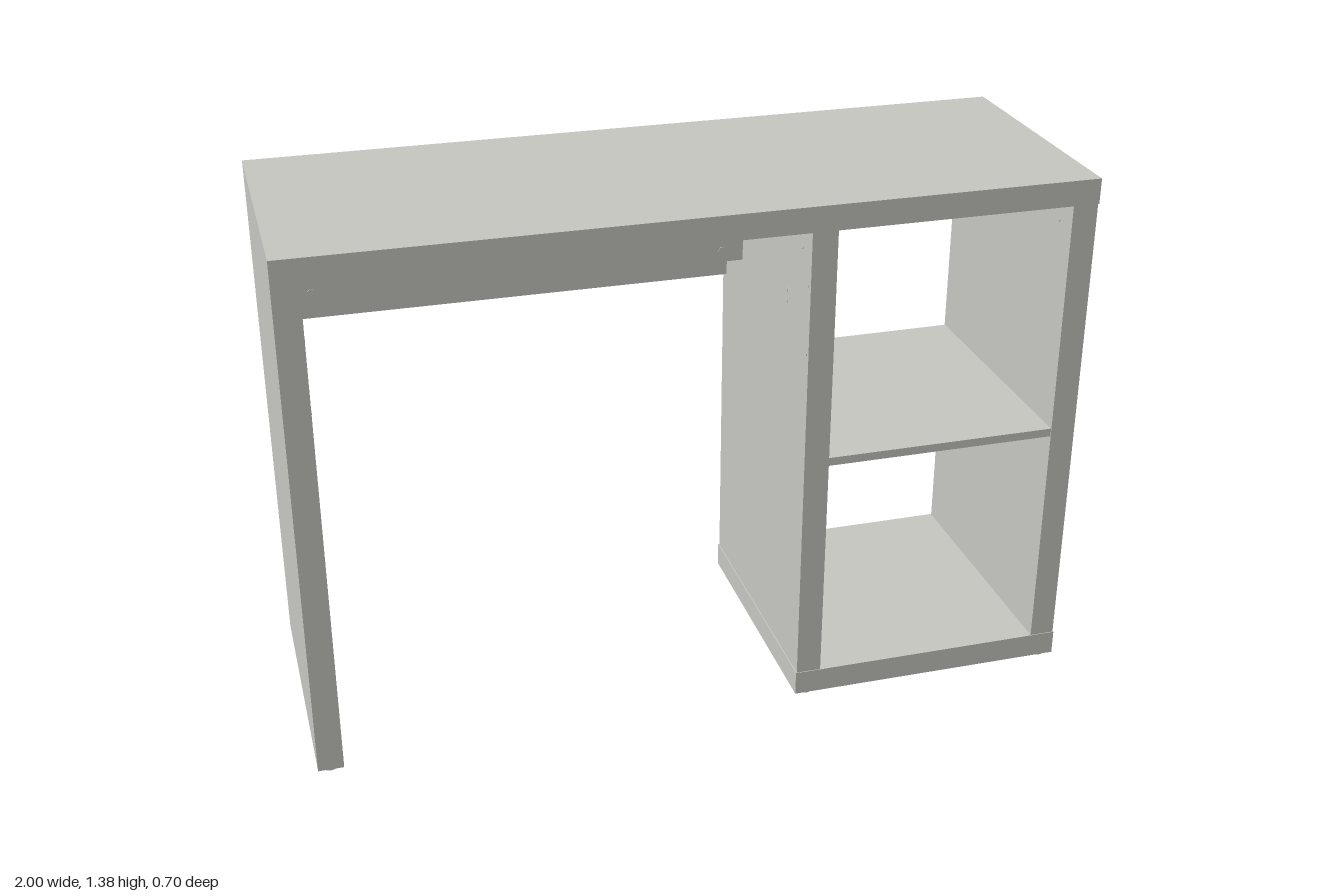
import * as THREE from 'three';

export function createModel() {
  const desk = new THREE.Group();
  desk.name = 'desk';
  const grey = new THREE.MeshStandardMaterial({ color: 0xc8c8c3 });
  grey.name = 'warm light grey';

  // Box given by its extents along x, y and z
  function board(name, x0, x1, y0, y1, z0, z1) {
    const mesh = new THREE.Mesh(new THREE.BoxGeometry(x1 - x0, y1 - y0, z1 - z0), grey);
    mesh.name = name;
    mesh.position.set((x0 + x1) / 2, (y0 + y1) / 2, (z0 + z1) / 2);
    desk.add(mesh);
  }

  // Small disc with its axis along x, y or z
  function disc(name, axis, x, y, z, radius, depth) {
    const geometry = new THREE.CylinderGeometry(radius, radius, depth, 12);
    if (axis === 'x') geometry.rotateZ(Math.PI / 2);
    if (axis === 'z') geometry.rotateX(Math.PI / 2);
    const mesh = new THREE.Mesh(geometry, grey);
    mesh.name = name;
    mesh.position.set(x, y, z);
    desk.add(mesh);
  }

  // Main boards
  board('desktop', -1, 1, 1.31, 1.375, -0.35, 0.35);
  board('sideLeg', -1, -0.935, 0.008, 1.31, -0.348, 0.348);
  board('cabinetInnerSide', 0.26, 0.325, 0.073, 1.31, -0.348, 0.348);
  board('cabinetOuterSide', 0.933, 0.998, 0.073, 1.31, -0.348, 0.348);
  board('cabinetBase', 0.257, 1, 0.008, 0.073, -0.35, 0.35);
  board('shelf', 0.325, 0.933, 0.68, 0.702, -0.346, 0.346);

  // Rear panel and the cable tray in front of it
  board('backPanel', -0.935, 0.26, 0.945, 1.21, -0.348, -0.318);
  board('trayFloor', -0.935, 0.26, 1.04, 1.06, -0.318, -0.185);
  board('trayLip', -0.935, 0.26, 1.04, 1.13, -0.2, -0.18);

  // Screws of the panel and tray
  for (const x of [-0.873, 0.203]) {
    for (const y of [0.99, 1.08, 1.167]) disc('panelScrew', 'z', x, y, -0.348, 0.01, 0.004);
    disc('trayScrew', 'z', x, 1.072, -0.18, 0.01, 0.004);
  }

  // Corner brackets at the back of the cabinet
  for (const [x, dir] of [[0.327, 1], [0.931, -1]]) {
    const centre = x + dir * 0.04;
    board('bracketPlate', centre - 0.039, centre + 0.039, 1.2, 1.287, -0.35, -0.338);
    board('bracketBoss', centre - 0.022, centre + 0.022, 1.22, 1.267, -0.353, -0.35);
    disc('bracketScrew', 'z', centre, 1.243, -0.353, 0.009, 0.003);
  }

  // Fixing caps on the inner faces: [z, y]
  const caps = [[0.28, 1.25], [0.18, 1.1], [0.18, 1.07], [0.33, 1.17], [0.33, 0.99]];
  for (const [z, y] of caps) {
    disc('legCap', 'x', -0.935, y, z, 0.006, 0.003);
    disc('cabinetCap', 'x', 0.26, y, z, 0.006, 0.003);
  }
  for (const x of [0.325, 0.933]) disc('cabinetCap', 'x', x, 1.25, 0.28, 0.006, 0.003);

  // Feet
  for (const x of [-0.968, 0.292, 0.966]) {
    for (const z of [-0.322, 0.322]) disc('foot', 'y', x, 0.005, z, 0.02, 0.01);
  }

  return desk;
}
